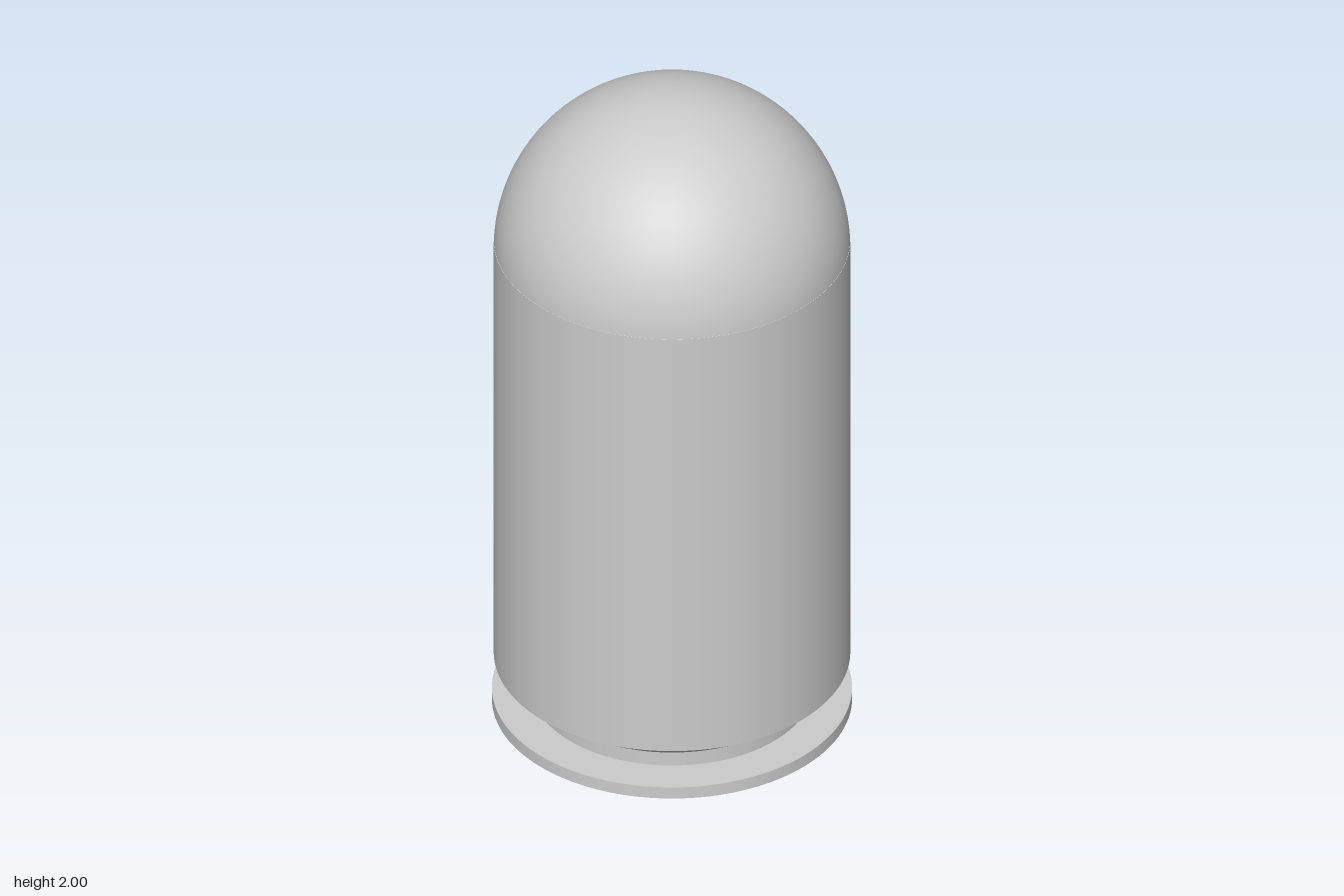
import * as THREE from 'three';

const SEGMENTS = 128;
const BODY_R = 0.495;
const NECK_R = 0.39;

export function createModel() {
  const model = new THREE.Group();
  model.name = 'roundNosedCartridge';
  const material = new THREE.MeshStandardMaterial({ color: 0xcccccc });

  const add = (name, geometry, y = 0) => {
    const mesh = new THREE.Mesh(geometry, material);
    mesh.name = name;
    mesh.position.y = y;
    model.add(mesh);
  };
  // Straight or tapered section between two heights
  const section = (name, bottomR, topR, y0, y1, open = true) =>
    add(name, new THREE.CylinderGeometry(topR, bottomR, y1 - y0, SEGMENTS, 1, open), (y0 + y1) / 2);

  // Rim disc, extraction groove, flared shoulder and straight case
  section('rim', 0.5, 0.5, 0, 0.037, false);
  section('grooveNeck', NECK_R, NECK_R, 0.037, 0.08);
  section('shoulder', NECK_R, BODY_R, 0.08, 0.155);
  section('caseWall', BODY_R, BODY_R, 0.155, 1.53);

  // Hemispherical nose, trimmed where it meets the case
  const centreY = 2 - BODY_R;
  const trim = Math.acos((1.53 - centreY) / BODY_R);
  add('nose', new THREE.SphereGeometry(BODY_R, SEGMENTS, 48, 0, Math.PI * 2, 0, trim), centreY);

  return model;
}
